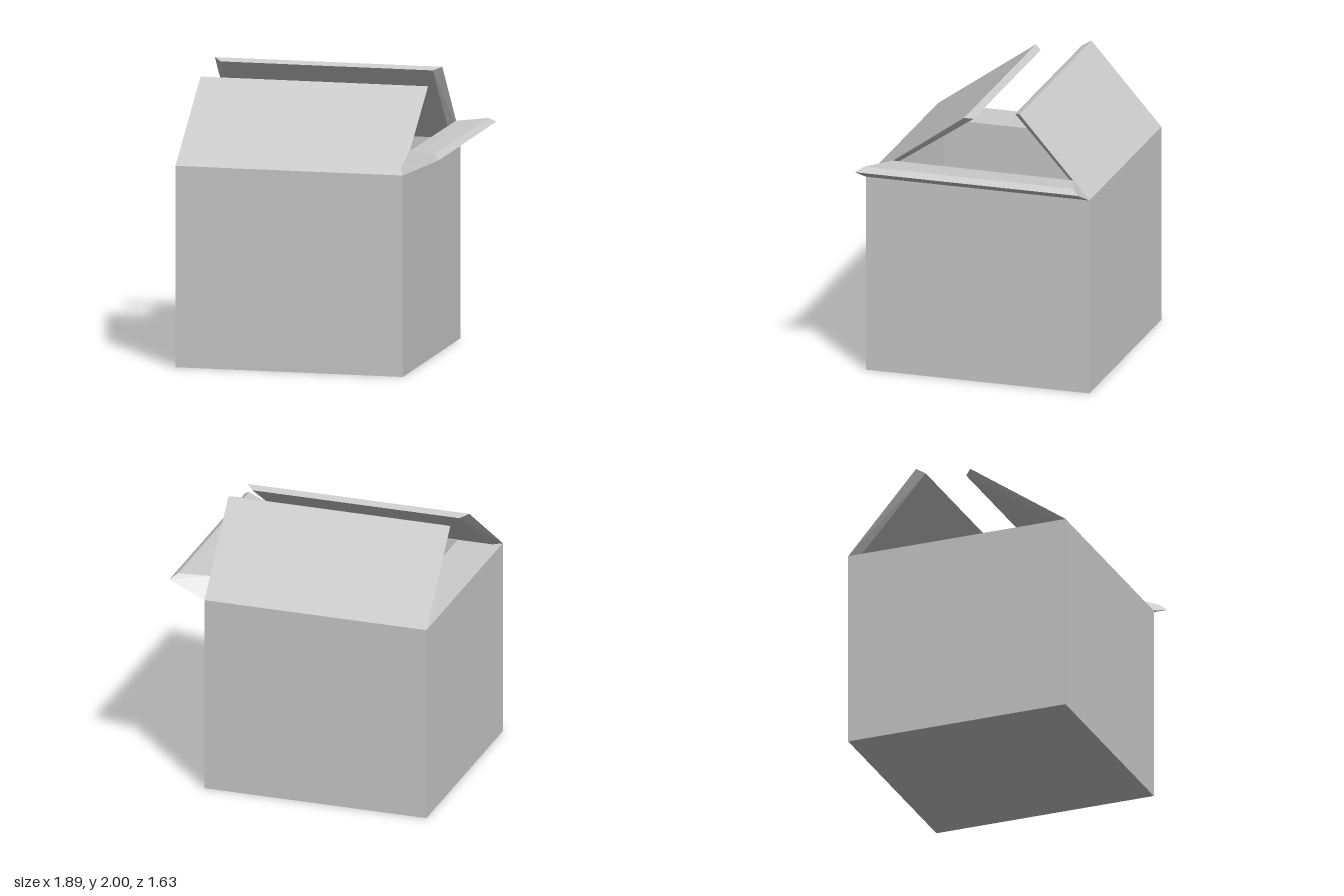
import * as THREE from 'three';
import { ConvexGeometry } from 'three/addons/geometries/ConvexGeometry.js';

const material = new THREE.MeshStandardMaterial({ color: 0xcccccc, flatShading: true });
const v = (x, y, z) => new THREE.Vector3(x, y, z);

// Box dimensions
const X0 = -0.945, X1 = 0.685, Z = 0.815, TOP = 1.42, T = 0.055;

function rectangle(PathClass, x0, x1, z) {
  const p = new PathClass();
  p.moveTo(x0, -z).lineTo(x1, -z).lineTo(x1, z).lineTo(x0, z).closePath();
  return p;
}

export function createModel() {
  const model = new THREE.Group();
  model.name = 'openBox';
  const add = (name, geometry) => {
    const mesh = new THREE.Mesh(geometry, material);
    mesh.name = name;
    model.add(mesh);
    return mesh;
  };

  // Four walls as one hollow extrusion, open at the top
  const outline = rectangle(THREE.Shape, X0, X1, Z);
  outline.holes.push(rectangle(THREE.Path, X0 + T, X1 - T, Z - T));
  const walls = new THREE.ExtrudeGeometry(outline, { depth: TOP, bevelEnabled: false });
  walls.rotateX(-Math.PI / 2);
  add('walls', walls);

  // Floor panel inside the walls
  const floor = new THREE.BoxGeometry(X1 - X0 - 2 * T, T, 2 * (Z - T));
  floor.translate((X0 + X1) / 2, T / 2, 0);
  add('floor', floor);

  // Long flaps: cross-section as [y, z], outer points span the full width, inner points are mitred
  const longFlap = (name, outer, inner) => {
    const points = [];
    for (const [y, z] of outer) points.push(v(X0, y, z), v(X1, y, z));
    for (const [y, z] of inner) points.push(v(X0 + T, y, z), v(X1 - T, y, z));
    add(name, new ConvexGeometry(points));
  };
  longFlap('frontFlap', [[TOP, Z], [1.93, 0.1]], [[1.425, 0.76], [1.91, 0.048]]);
  longFlap('backFlap', [[TOP, -Z], [2, -0.305]], [[1.42, -0.76], [1.98, -0.255]]);

  // Short flaps: cross-section as [x, y], mitred at both ends
  const shortFlap = (name, outer, inner, extra = []) => {
    const points = [...extra];
    for (const s of [-1, 1]) {
      for (const [x, y] of outer) points.push(v(x, y, s * Z));
      for (const [x, y] of inner) points.push(v(x, y, s * (Z - T)));
    }
    add(name, new ConvexGeometry(points));
  };
  // Flap folded outwards, with a raised ridge along its hinge
  shortFlap('outwardFlap', [[X1, TOP], [0.945, 1.54]], [[X1 - T, 1.447], [0.9, 1.572]],
    [v(X1, 1.56, 0.62), v(X1, 1.555, -0.695)]);
  // Flap folded flat inwards
  shortFlap('inwardFlap', [[X0, TOP], [-0.63, TOP]], [[X0 + T, TOP - T], [-0.63, TOP - T]]);

  return model;
}
